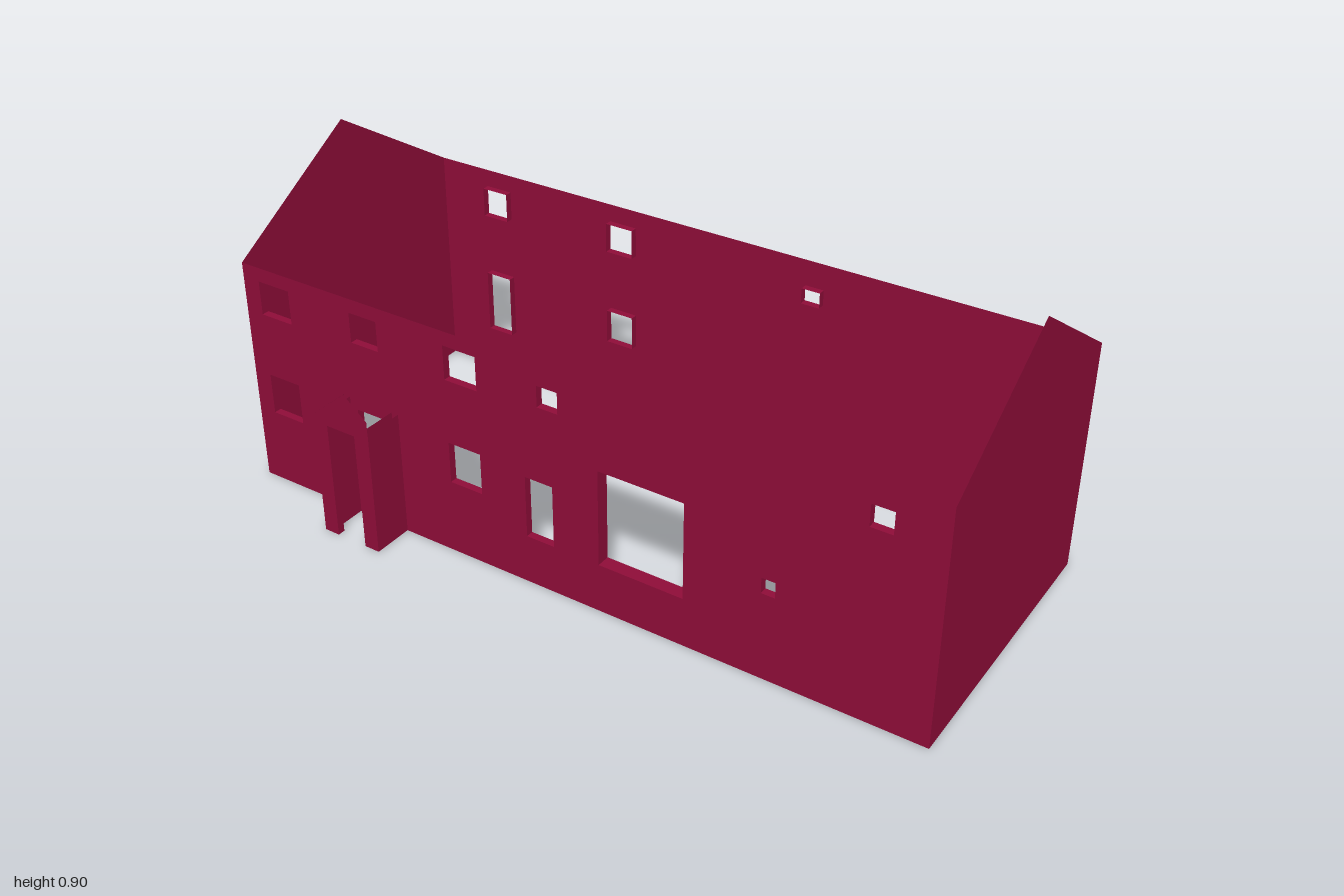
import * as THREE from 'three';
import { mergeGeometries } from 'three/addons/utils/BufferGeometryUtils.js';

const EAVE = 0.648, APEX = 0.905, FRONT = 0.352, BACK = -0.467;
const PORCH_FRONT = 0.467, T = 0.021;

// Flat four-cornered face
function quad(...c) {
  const g = new THREE.BufferGeometry();
  g.setAttribute('position', new THREE.Float32BufferAttribute(c.flat(), 3));
  g.setIndex([0, 1, 2, 0, 2, 3]);
  g.computeVertexNormals();
  return g;
}

function outline(points) {
  return new THREE.Shape(points.map(p => new THREE.Vector2(...p)));
}

function panel(points, holes = []) {
  const shape = outline(points);
  for (const [x0, x1, y0, y1] of holes) {
    shape.holes.push(outline([[x0, y0], [x0, y1], [x1, y1], [x1, y0]]));
  }
  const g = new THREE.ShapeGeometry(shape);
  g.deleteAttribute('uv');
  return g;
}

// Jambs, sill and lintel running inward from the wall face
function reveal([x0, x1, y0, y1, depth = T]) {
  const c = [[x0, y0], [x1, y0], [x1, y1], [x0, y1]];
  return mergeGeometries(c.map((a, i) => {
    const b = c[(i + 1) % 4];
    return quad([...a, 0], [...b, 0], [...b, -depth], [...a, -depth]);
  }));
}

export function createModel() {
  const house = new THREE.Group();
  house.name = 'houseWalls';
  const paint = new THREE.MeshStandardMaterial({ color: 0x8f0d39, side: THREE.DoubleSide });
  paint.name = 'crimson';

  const add = (parent, name, geometry) => {
    const mesh = new THREE.Mesh(geometry, paint);
    mesh.name = name;
    parent.add(mesh);
    return mesh;
  };

  // Long wall: a thin sheet with openings and their reveals
  const longWall = (name, openings) => {
    const wall = new THREE.Group();
    wall.name = name;
    add(wall, name + 'Face', panel([[-1, 0], [1, 0], [1, EAVE], [-1, EAVE]], openings));
    add(wall, name + 'WindowReveals', mergeGeometries(openings.map(reveal)));
    house.add(wall);
    return wall;
  };

  // Openings: x0, x1, y0, y1, optional depth
  longWall('frontWall', [
    [-0.947, -0.845, 0.512, 0.608],
    [-0.64, -0.552, 0.523, 0.608],
    [-0.34, -0.241, 0.512, 0.608],
    [-0.06, 0, 0.528, 0.587],
    [0.813, 0.87, 0.528, 0.587],
    [-0.947, -0.845, 0.213, 0.33],
    [-0.64, -0.547, 0.139, 0.325],
    [-0.34, -0.241, 0.213, 0.33],
    [-0.104, -0.022, 0.139, 0.315],
    [0.112, 0.352, 0.139, 0.411, 0.038],
    [0.56, 0.597, 0.245, 0.288],
  ]).position.z = FRONT;

  const backWall = longWall('backWall', [
    [-0.84, -0.758, 0.512, 0.597],
    [-0.411, -0.326, 0.512, 0.597],
    [0.206, 0.26, 0.53, 0.574],
    [-0.84, -0.758, 0.139, 0.325],
    [-0.411, -0.326, 0.226, 0.325],
  ].map(([x0, x1, y0, y1]) => [-x1, -x0, y0, y1]));
  backWall.rotation.y = Math.PI;
  backWall.position.z = BACK;

  // Gable end walls
  const ridge = (FRONT + BACK) / 2;
  for (const side of [-1, 1]) {
    const pts = [[FRONT, 0], [FRONT, EAVE], [ridge, APEX], [BACK, EAVE], [BACK, 0]]
      .map(([z, y]) => [-side * z, y]);
    const gable = add(house, side > 0 ? 'leftGableWall' : 'rightGableWall', panel(pts));
    gable.rotation.y = side * Math.PI / 2;
    gable.position.x = side;
  }

  // Open-topped porch with a pointed front
  const porch = new THREE.Group();
  porch.name = 'porch';
  porch.position.x = -0.593;
  house.add(porch);
  const W = 0.091, D = 0.046, H = 0.357, PEAK = 0.432, DOOR = 0.336;
  const inner = PORCH_FRONT - T;
  const gablePanel = w => {
    const h = PEAK - (PEAK - H) * w / W;
    return panel([[-w, 0], [-D, 0], [-D, DOOR], [D, DOOR], [D, 0], [w, 0], [w, h], [0, PEAK], [-w, h]]);
  };
  add(porch, 'porchFront', gablePanel(W)).position.z = PORCH_FRONT;
  add(porch, 'porchFrontInside', gablePanel(W - T)).position.z = inner;
  add(porch, 'porchLintel', quad([-D, DOOR, inner], [D, DOOR, inner], [D, DOOR, PORCH_FRONT], [-D, DOOR, PORCH_FRONT]));
  for (const s of [-1, 1]) {
    const upright = (x, z0, z1, h) =>
      quad([x, 0, z1], [x, 0, z0], [x, h, z0], [x, h, z1]);
    const flat = (x0, x1, z0, z1) =>
      quad([s * x0, 0, z0], [s * x1, 0, z0], [s * x1, 0, z1], [s * x0, 0, z1]);
    const label = s > 0 ? 'Left' : 'Right';
    add(porch, 'porchWall' + label, upright(s * W, FRONT, PORCH_FRONT, H));
    add(porch, 'porchWallInside' + label, upright(s * (W - T), FRONT, inner, H));
    add(porch, 'porchJamb' + label, upright(s * D, inner, PORCH_FRONT, DOOR));
    add(porch, 'porchFoot' + label, mergeGeometries([
      flat(W - T, W, FRONT, inner), flat(D, W, inner, PORCH_FRONT),
    ]));
  }
  return house;
}
